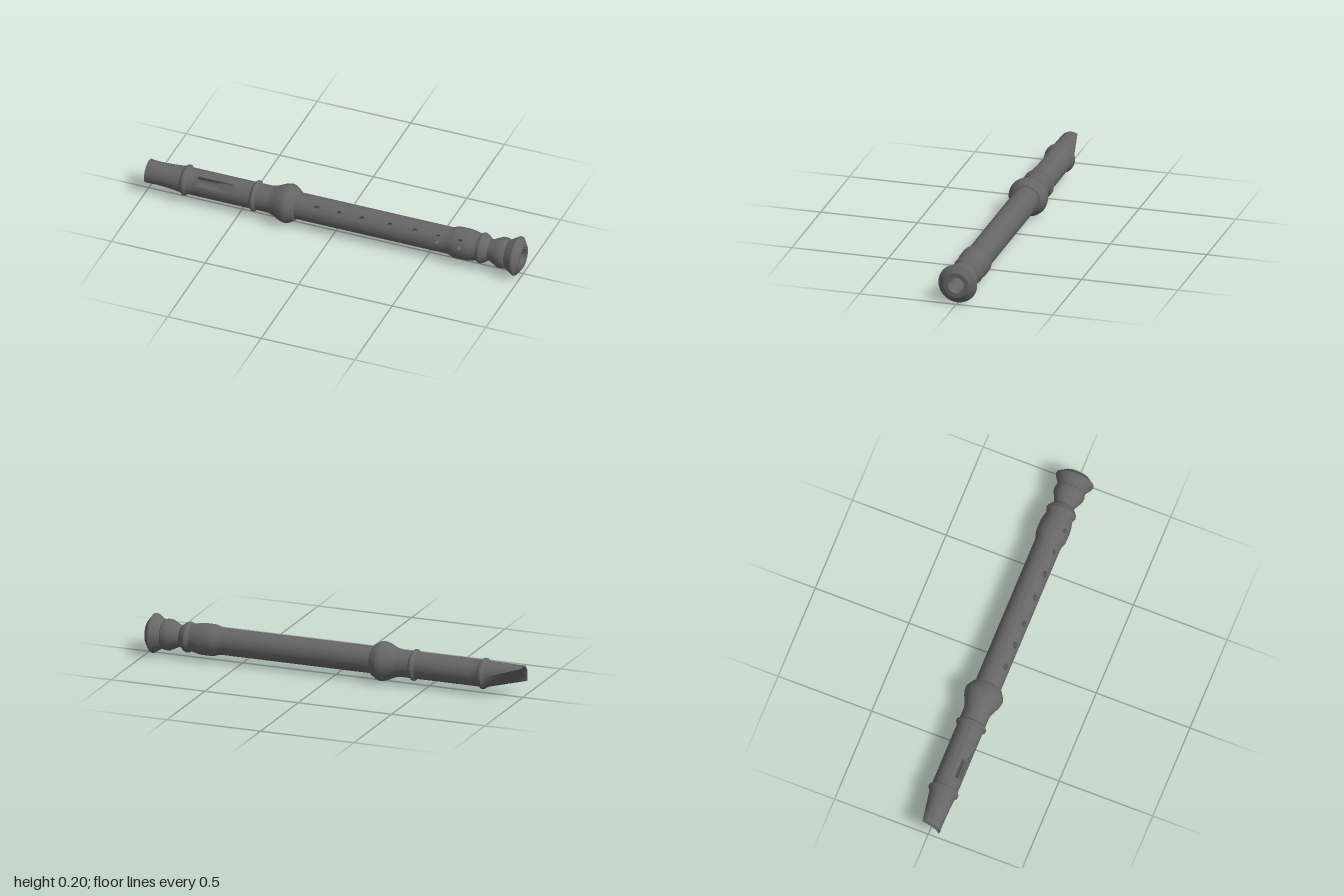
import * as THREE from 'three';
import { mergeGeometries, toCreasedNormals } from 'three/addons/utils/BufferGeometryUtils.js';

const { lerp } = THREE.MathUtils;
const TAU = Math.PI * 2, AXIS_Y = 0.1, BORE = 0.042, BODY = 0.068, SIDES = 128;

// Turned outline: [x along the axis, radius]
const PROFILE = [
  [-0.815, 0.067], [-0.81, 0.07], [-0.8, 0.078], [-0.79, 0.078], [-0.78, 0.07], [-0.775, BODY],
  [-0.44, BODY], [-0.435, 0.073], [-0.429, 0.079], [-0.42, 0.079], [-0.414, 0.073], [-0.41, BODY],
  [-0.35, BODY], [-0.335, 0.071], [-0.315, 0.078], [-0.285, 0.092], [-0.265, 0.098], [-0.25, 0.1],
  [-0.238, 0.098], [-0.205, 0.078], [-0.2, BODY], [0.61, BODY], [0.625, 0.072], [0.645, 0.079],
  [0.665, 0.08], [0.705, 0.08], [0.73, 0.077], [0.76, 0.07], [0.768, 0.07], [0.775, 0.075],
  [0.787, 0.078], [0.8, 0.073], [0.825, 0.053], [0.84, 0.058], [0.88, 0.078], [0.9, 0.079],
  [0.915, 0.076], [0.92, 0.071], [0.96, 0.096], [0.968, 0.1], [0.976, 0.098], [1, 0.065],
];

function radiusAt(x) {
  for (let i = 1; i < PROFILE.length; i++) {
    const [x0, r0] = PROFILE[i - 1], [x1, r1] = PROFILE[i];
    if (x <= x1) return lerp(r0, r1, (x - x0) / (x1 - x0));
  }
  return PROFILE[PROFILE.length - 1][1];
}

// Point at angle a around the axis; a = 0 is the front, a = PI / 2 the top
const point = (x, a, r) => [x, AXIS_Y + r * Math.sin(a), r * Math.cos(a)];

// Grid surface whose front is on the side of du x dv
function grid(nu, nv, fn) {
  const pos = [], index = [];
  for (let i = 0; i <= nu; i++) for (let j = 0; j <= nv; j++) pos.push(...fn(i / nu, j / nv, i, j));
  for (let i = 0; i < nu; i++) for (let j = 0; j < nv; j++) {
    const p = i * (nv + 1) + j, q = p + nv + 1;
    index.push(p, q, q + 1, p, q + 1, p + 1);
  }
  const g = new THREE.BufferGeometry();
  g.setAttribute('position', new THREE.Float32BufferAttribute(pos, 3));
  g.setIndex(index);
  return g;
}

// Turned surface over a range of x and angle
function patch(x0, x1, a0, a1) {
  const e = 1e-5;
  const xs = [x0, ...PROFILE.map(p => p[0]).filter(x => x > x0 + e && x < x1 - e), x1];
  const n = Math.ceil((a1 - a0) / TAU * SIDES);
  return grid(xs.length - 1, n, (u, v, i) => point(xs[i], lerp(a0, a1, v), radiusAt(xs[i])));
}

// Piece of wall with an opening through to the bore
function opening(x, hx, { a, ha, ox, oa, round }) {
  const N = 64;
  // w runs from the rim of the opening (0) to the edge of the piece (1)
  const place = (v, w) => {
    const c = Math.cos(v * TAU), s = Math.sin(v * TAU), m = Math.max(Math.abs(c), Math.abs(s));
    const k = round ? 1 : 1 / m;
    return [x + lerp(ox * c * k, hx * c / m, w), a + lerp(oa * s * k, ha * s / m, w)];
  };
  const skin = grid(3, N, (u, v) => {
    const [px, pa] = place(v, u);
    return point(px, pa, radiusAt(px));
  });
  const wall = grid(1, N, (u, v) => {
    const [px, pa] = place(v, 0);
    return point(px, pa, lerp(BORE, radiusAt(px), u));
  });
  return [skin, wall];
}

// One joint: plain turned lengths with pierced slices between them
function joint(x0, x1, slices) {
  const parts = [];
  let x = x0;
  for (const s of slices) {
    parts.push(patch(x, s.x - s.hx, 0, TAU));
    const first = s.cells[0], last = s.cells[s.cells.length - 1];
    parts.push(patch(s.x - s.hx, s.x + s.hx, last.a + last.ha, first.a - first.ha + TAU));
    for (const c of s.cells) parts.push(...opening(s.x, s.hx, c));
    x = s.x + s.hx;
  }
  parts.push(patch(x, x1, 0, TAU));
  return parts;
}

// Flat ring across the axis; facing +x or -x
const ring = (x, rIn, rOut, facing) => grid(1, SIDES, (u, v) =>
  point(x, v * TAU, facing > 0 ? lerp(rOut, rIn, u) : lerp(rIn, rOut, u)));

// Beak: a straight loft from a full circle to a dished crescent at the tip
function beak() {
  const FACE = Math.PI / 4, ARC = 42, CHORD = 18, N = ARC + CHORD, SPREAD = Math.PI * 0.75;
  const section = (t, j, wall) => {
    const r0 = 0.067 - wall, r1 = 0.064 - wall, d = 0.018 + wall * 0.3, sag = 0.014;
    const phi = Math.acos(d / r1), h = r1 * Math.sin(phi);
    let turn, n, s;
    if (j <= ARC) {
      const k = lerp(-1, 1, j / ARC);
      turn = SPREAD * k;
      n = r1 * Math.cos(phi * k);
      s = r1 * Math.sin(phi * k);
    } else {
      const k = (j - ARC) / CHORD, c = 1 - 2 * k;
      turn = lerp(SPREAD, TAU - SPREAD, k);
      n = d + sag * (1 - c * c);
      s = h * c;
    }
    n = lerp(r0 * Math.cos(turn), n, t);
    s = lerp(r0 * Math.sin(turn), s, t);
    return point(lerp(-0.815, -1, t), FACE + Math.atan2(s, n), Math.hypot(s, n));
  };
  return [
    grid(10, N, (u, v, i, j) => section(1 - u, j, 0)),
    grid(10, N, (u, v, i, j) => section(u, j, 0.008)),
    grid(1, N, (u, v, i, j) => section(1, j, 0.008 * (1 - u))),
  ];
}

export function createModel() {
  const model = new THREE.Group();
  const material = new THREE.MeshStandardMaterial({ color: 0x666666 });
  const add = (name, parts) => {
    const mesh = new THREE.Mesh(toCreasedNormals(mergeGeometries(parts), 0.5), material);
    mesh.name = name;
    model.add(mesh);
  };

  // Mouthpiece
  add('beak', beak());

  // Head joint with the sound window
  const windowAngle = 0.7, windowHalf = 0.38;
  const soundWindow = {
    x: -0.625, hx: 0.11,
    cells: [{ a: windowAngle, ha: 0.48, ox: 0.1, oa: windowHalf, round: false }],
  };
  add('headJoint', [...joint(-0.815, -0.2, [soundWindow]), ring(-0.815, BORE, 0.067, -1)]);

  // Flat sloping lip rising towards the surface at the end of the window
  add('windowRamp', [grid(1, 1, (u, v) => {
    const n = lerp(0.047, 0.063, u), s = BODY * Math.sin(windowHalf) * (2 * v - 1);
    return point(lerp(-0.615, -0.525, u), windowAngle + Math.atan2(s, n), Math.hypot(s, n));
  })]);

  // Lower joint with five single and two double finger holes, ending in the flared foot
  const single = x => ({
    x, hx: 0.022, cells: [{ a: 0.7, ha: 0.32, ox: 0.016, oa: 0.23, round: true }],
  });
  const double = x => ({
    x, hx: 0.018,
    cells: [0.32, 0.72].map(a => ({ a, ha: 0.2, ox: 0.012, oa: 0.15, round: true })),
  });
  const slices = [
    ...[-0.085, 0.037, 0.157, 0.307, 0.44].map(single),
    ...[0.566, 0.687].map(double),
  ];
  add('lowerJoint', [...joint(-0.2, 1, slices), ring(1, BORE, 0.065, 1)]);

  // Inside of the tube
  add('bore', [grid(1, SIDES, (u, v) => point(lerp(1, -0.815, u), v * TAU, BORE))]);

  return model;
}
